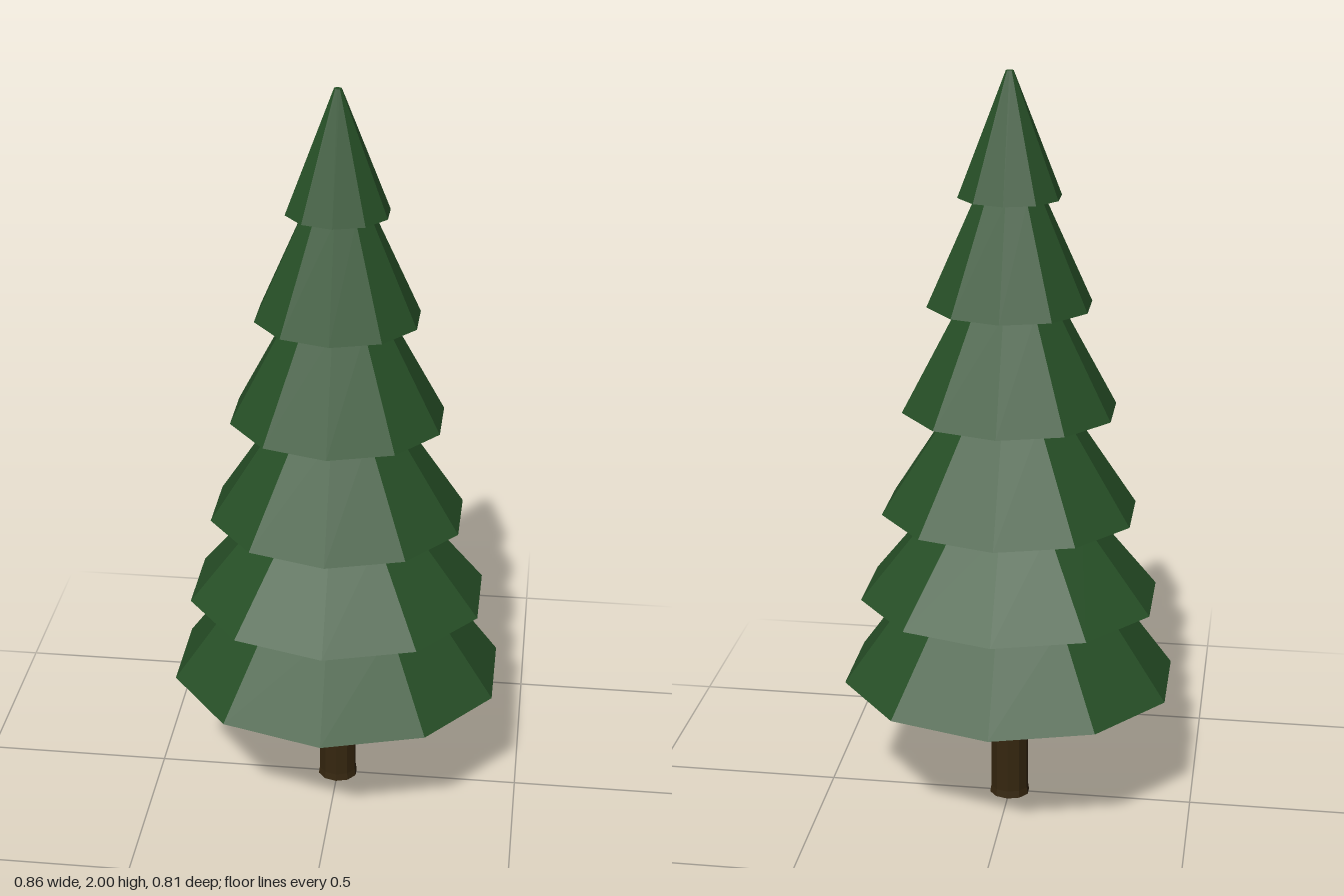
import * as THREE from 'three';

const SIDES = 10;
const DEPTH = 0.896; // the tree is slightly narrower front to back

export function createModel() {
  const tree = new THREE.Group();
  tree.name = 'pineTree';

  const needles = new THREE.MeshStandardMaterial({ color: 0x275027, flatShading: true });
  needles.name = 'needleGreen';
  const bark = new THREE.MeshStandardMaterial({ color: 0x35260f, flatShading: true });
  bark.name = 'barkBrown';

  // Foliage tiers: bottom height, top height, bottom radius, top radius
  const tiers = [
    [0.365, 0.605, 0.452, 0.278],
    [0.605, 0.845, 0.403, 0.208],
    [0.845, 1.125, 0.342, 0.158],
    [1.125, 1.405, 0.284, 0.133],
    [1.405, 1.685, 0.216, 0.089],
    [1.685, 2.0, 0.134, 0.01],
  ];
  tiers.forEach(([y0, y1, r0, r1], i) => {
    const geometry = new THREE.CylinderGeometry(r1, r0, y1 - y0, SIDES);
    geometry.scale(1, 1, DEPTH);
    const tier = new THREE.Mesh(geometry, needles);
    tier.name = `foliageTier${i + 1}`;
    tier.position.y = (y0 + y1) / 2;
    tree.add(tier);
  });

  // Trunk with a gentle taper and a small flare at the foot
  const profile = [[0, 0], [0.055, 0], [0.052, 0.02], [0.051, 0.2], [0.049, 0.21], [0.049, 0.37]]
    .map(([r, y]) => new THREE.Vector2(r, y));
  const trunkGeometry = new THREE.LatheGeometry(profile, SIDES);
  trunkGeometry.scale(1, 1, DEPTH);
  const trunk = new THREE.Mesh(trunkGeometry, bark);
  trunk.name = 'trunk';
  tree.add(trunk);

  return tree;
}
